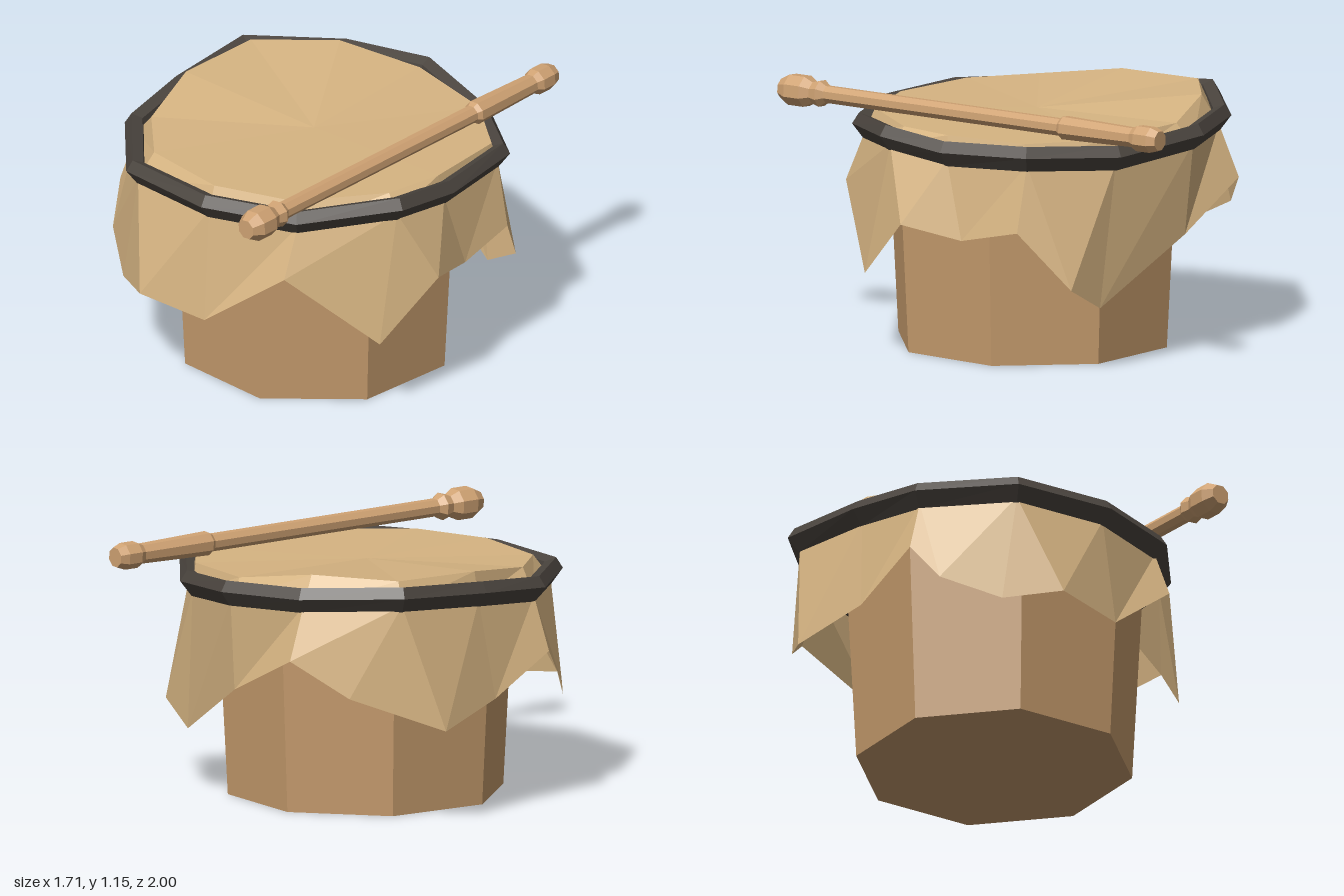
import * as THREE from 'three';

const material = (color, side = THREE.FrontSide) =>
  new THREE.MeshStandardMaterial({ color, flatShading: true, side });

// Skins closed loops of [x, y, z] points, listed from the top outwards and down.
function loft(loops, centre) {
  const pos = [];
  const tri = (...pts) => pts.forEach(p => pos.push(...p));
  const n = loops[0].length;
  for (let i = 0; i < n; i++) {
    const j = (i + 1) % n;
    if (centre) tri(centre, loops[0][j], loops[0][i]);
    for (let k = 0; k + 1 < loops.length; k++) {
      const a = loops[k], b = loops[k + 1];
      tri(a[i], a[j], b[j]);
      tri(a[i], b[j], b[i]);
    }
  }
  const geo = new THREE.BufferGeometry();
  geo.setAttribute('position', new THREE.Float32BufferAttribute(pos, 3));
  geo.computeVertexNormals();
  return geo;
}

// Outer line of the tension ring, clockwise from the back
const RING = [
  [-0.2, 1.0, -0.96], [0.21, 0.99, -0.96], [0.6, 0.95, -0.7], [0.845, 0.97, -0.34],
  [0.76, 0.955, 0.08], [0.65, 0.99, 0.39], [0.25, 0.955, 0.64], [-0.2, 0.955, 0.65],
  [-0.64, 0.955, 0.46], [-0.83, 0.96, 0.04], [-0.77, 0.99, -0.33], [-0.63, 1.02, -0.77],
];

// Edge of the drumhead, matching the ring points
const HEAD = [
  [-0.18, 1.1, -0.83], [0.2, 1.045, -0.83], [0.58, 1.03, -0.61], [0.77, 1.03, -0.31],
  [0.68, 1.03, 0.07], [0.55, 1.03, 0.31], [0.2, 1.03, 0.55], [-0.18, 1.03, 0.55],
  [-0.55, 1.03, 0.36], [-0.69, 1.04, 0.07], [-0.69, 1.085, -0.31], [-0.55, 1.09, -0.7],
];

// Ragged hem: index of the ring point it hangs from, then x, y, z
const HEM = [
  [0, -0.18, 0.74, -1], [1, 0.2, 0.55, -0.87], [2, 0.62, 0.285, -0.61],
  [3, 0.79, 0.39, -0.53], [3, 0.85, 0.645, -0.3], [4, 0.77, 0.58, -0.02],
  [5, 0.765, 0.635, 0.26], [5, 0.58, 0.37, 0.48], [6, 0.21, 0.705, 0.68],
  [7, -0.18, 0.42, 0.66], [8, -0.51, 0.46, 0.61], [8, -0.68, 0.415, 0.4],
  [9, -0.83, 0.52, 0.17], [9, -0.855, 0.69, 0.03], [10, -0.78, 0.52, -0.28],
  [11, -0.755, 0.43, -0.63], [11, -0.42, 0.58, -0.89],
];

// Moves a ring point outwards from the drum axis and upwards
function offset([x, y, z], out, up) {
  const cz = -0.14, r = Math.hypot(x, z - cz), s = (r + out) / r;
  return [x * s, y + up, cz + (z - cz) * s];
}

export function createModel() {
  const group = new THREE.Group();
  const add = (name, geo, mat) => {
    const mesh = new THREE.Mesh(geo, mat);
    mesh.name = name;
    group.add(mesh);
    return mesh;
  };

  // Eight-sided tapered body
  const body = add('drumBody', new THREE.CylinderGeometry(0.665, 0.615, 0.96, 8), material(0xc49a6c));
  body.position.set(0.015, 0.48, -0.115);

  // Skin: head, slope under the ring and hanging folds
  const skinLoops = [
    HEM.map(h => HEAD[h[0]]),
    HEM.map(h => offset(RING[h[0]], -0.055, -0.03)),
    HEM.map(h => h.slice(1)),
  ];
  add('drumSkin', loft(skinLoops, [0, 1.035, -0.13]), material(0xd6b482, THREE.DoubleSide));

  // Faceted tension ring
  const section = [[-0.08, 0.04], [-0.03, 0.058], [0, 0.01], [-0.05, -0.057], [-0.09, -0.02], [-0.08, 0.04]];
  add('tensionRing', loft(section.map(([o, u]) => RING.map(p => offset(p, o, u)))), material(0x4a443e));

  // Drumstick lying across the head, turned profile from tip to butt
  const profile = [
    [0, 0], [0.045, 0], [0.072, 0.05], [0.072, 0.13], [0.05, 0.17], [0.062, 0.21],
    [0.04, 0.24], [0.04, 1.49], [0.054, 1.51], [0.045, 1.88], [0.06, 1.91],
    [0.06, 1.98], [0.045, 2.02], [0, 2.02],
  ].map(([r, y]) => new THREE.Vector2(r, y));
  const stick = add('drumstick', new THREE.LatheGeometry(profile, 8), material(0xcfa273));
  const tip = new THREE.Vector3(0.16, 1.085, 0.985);
  const butt = new THREE.Vector3(0.785, 1.085, -0.935);
  stick.position.copy(tip);
  stick.quaternion.setFromUnitVectors(new THREE.Vector3(0, 1, 0), butt.sub(tip).normalize());

  return group;
}
